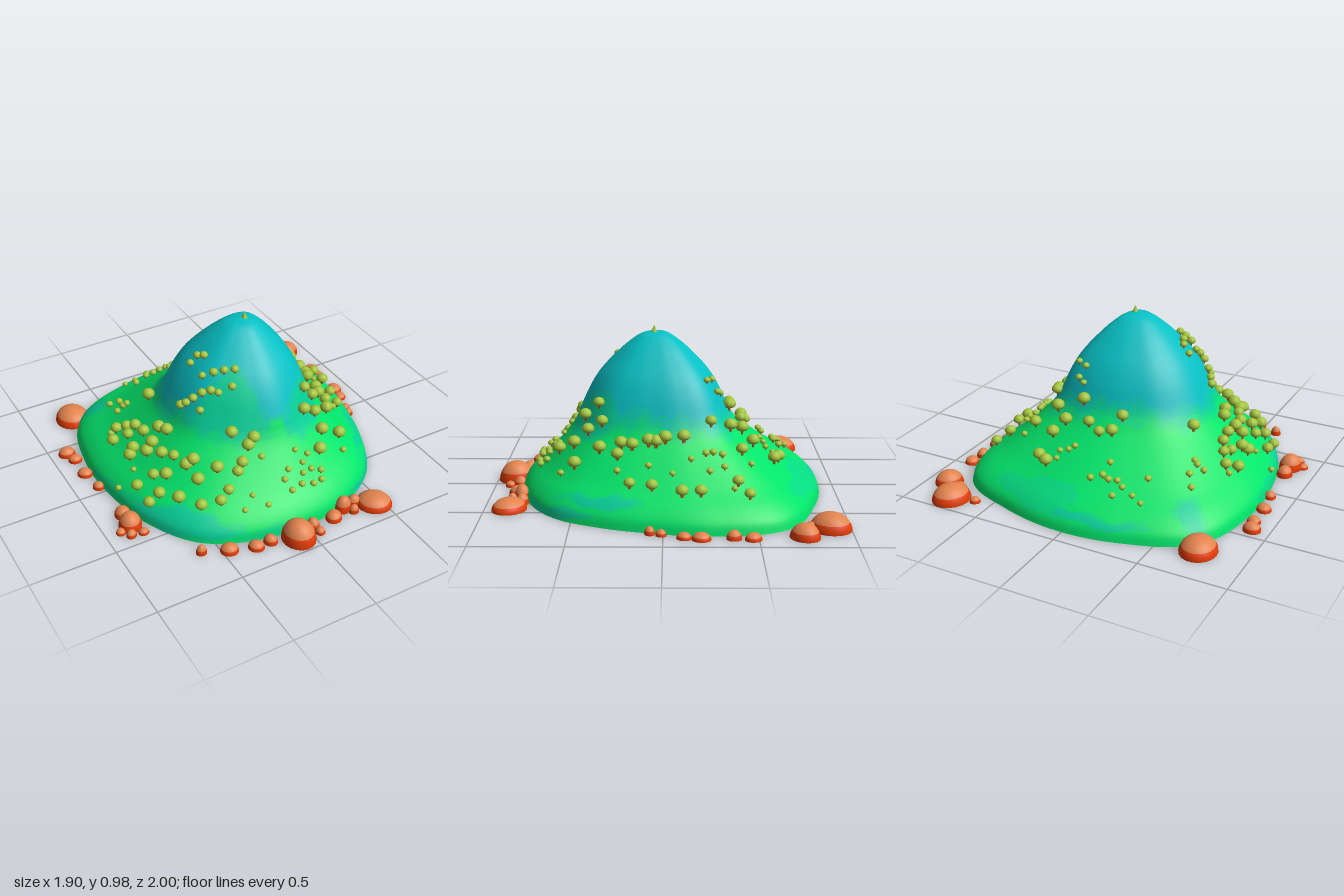
import * as THREE from 'three';

const mat = (name, color, side = THREE.FrontSide) => {
  const m = new THREE.MeshStandardMaterial({ color, side });
  m.name = name;
  return m;
};

// uniform Catmull-Rom through a list of numbers, closed or clamped
function spline(v, t, closed) {
  const n = v.length, i = Math.floor(t), u = t - i;
  const at = (k) => v[closed ? (k + n) % n : Math.min(n - 1, Math.max(0, k))];
  const [a, b, c, d] = [at(i - 1), at(i), at(i + 1), at(i + 2)];
  return b + 0.5 * u * (c - a + u * (2 * a - 5 * b + 4 * c - d + u * (3 * (b - c) + d - a)));
}

// hill outlines as radii, every 22.5 degrees from +z towards +x
const CX = 0.04, CZ = 0.05, TAU = Math.PI * 2;
const BASE = [0.78, 0.775, 0.775, 0.75, 0.775, 0.88, 1.01, 0.965, 0.965, 0.995, 1.05, 0.945, 0.87, 0.855, 0.86, 0.81];
const WAIST = [0.43, 0.41, 0.395, 0.37, 0.37, 0.41, 0.46, 0.44, 0.42, 0.42, 0.45, 0.465, 0.455, 0.45, 0.42, 0.415];
// slope profile: height, share of base outline, share of waist outline
const HEIGHT = [0, 0.06, 0.12, 0.19, 0.28, 0.38, 0.44, 0.5, 0.62, 0.72, 0.82, 0.88, 0.925, 0.94];
const OUTER = [1, 0.96, 0.84, 0.63, 0.4, 0.17, 0.07, 0, 0, 0, 0, 0, 0, 0];
const INNER = [0, 0.04, 0.16, 0.37, 0.6, 0.83, 0.93, 1, 0.87, 0.72, 0.5, 0.34, 0.18, 0];
const LAST = HEIGHT.length - 1;

const hillRadius = (a, t) => {
  const s = (((a / TAU) % 1) + 1) % 1 * 16;
  return spline(OUTER, t) * spline(BASE, s, true) + spline(INNER, t) * spline(WAIST, s, true);
};

// ground height below a point, by bisection along the slope
function groundY(a, r) {
  let lo = 0, hi = LAST;
  for (let i = 0; i < 30; i++) {
    const m = (lo + hi) / 2;
    if (hillRadius(a, m) > r) lo = m; else hi = m;
  }
  return spline(HEIGHT, lo);
}

// tinted patches: angle, height, half width (degrees), half height, tint
const PATCHES = [
  [305, 0.05, 28, 0.07, 0.5], [42, 0.025, 22, 0.03, 0.45], [62, 0.1, 20, 0.03, 0.45],
  [165, 0.12, 18, 0.045, 0.35], [188, 0.06, 22, 0.025, 0.4], [226, 0.1, 7, 0.08, 0.5],
  [350, 0.03, 20, 0.03, 0.35], [270, 0.05, 14, 0.04, 0.35], [320, 0.56, 30, 0.2, 0.5],
  [32, 0.49, 24, 0.14, 0.55], [0, 0.46, 9, 0.08, 0.1]];

// tint from 0 (grass) to 1 (summit)
function tint(a, y) {
  const deg = a / TAU * 360;
  const wob = 0.025 * Math.sin(3 * a + 1) + 0.015 * Math.sin(11 * a + 16 * y) + 0.01 * Math.sin(23 * a - 30 * y);
  let v = THREE.MathUtils.smoothstep(y + wob, 0.37, 0.57);
  for (const [pa, py, da, dy, target] of PATCHES) {
    const off = ((deg - pa + 540) % 360) - 180 + 120 * wob;
    const d = Math.hypot(off / da, (y + 0.7 * wob - py) / dy);
    v += (target - v) * (1 - THREE.MathUtils.smoothstep(d, 0.6, 1.2));
  }
  return v;
}

// open shell with a grassy foot and a blue-green summit
function makeHill(materials) {
  const N = 168, R = 84, pos = [], lists = materials.map(() => []);
  for (let j = 0; j <= R; j++) for (let i = 0; i < N; i++) {
    const a = i / N * TAU, t = j / R * LAST, r = hillRadius(a, t);
    pos.push(CX + r * Math.sin(a), spline(HEIGHT, t), CZ + r * Math.cos(a));
  }
  for (let j = 0; j < R; j++) for (let i = 0; i < N; i++) {
    const k = (i + 1) % N, p = j * N + i, q = j * N + k;
    const v = tint((i + 0.5) / N * TAU, pos[p * 3 + 1]);
    const list = lists[Math.round(THREE.MathUtils.clamp(v, 0, 1) * (lists.length - 1))];
    list.push(p, q, p + N);
    if (j < R - 1) list.push(q, q + N, p + N);
  }
  const g = new THREE.BufferGeometry();
  g.setAttribute('position', new THREE.Float32BufferAttribute(pos, 3));
  g.setIndex(lists.flat());
  let start = 0;
  lists.forEach((l, i) => { g.addGroup(start, l.length, i); start += l.length; });
  g.computeVertexNormals();
  const hill = new THREE.Mesh(g, materials);
  hill.name = 'hill';
  return hill;
}

// boulders around the foot: x, z, radius, height
const ROCKS = [
  -.73, -.75, .11, .09, .74, -.89, .11, .095, .865, -.74, .08, .08, .6, -.86, .03, .035, .76, -.78, .04, .05,
  -.9, -.43, .05, .05, -.88, -.35, .04, .04, -.88, -.2, .045, .04, -.86, -.05, .035, .04, -.84, .24, .05, .06,
  -.84, .34, .07, .09, -.91, .37, .03, .03, -.87, .42, .03, .04, -.8, .43, .03, .03, -.6, .73, .03, .055,
  -.46, .79, .05, .048, -.32, .84, .045, .045, -.23, .84, .04, .05, -.08, .89, .1, .12, .04, .85, .04, .06,
  .05, .91, .03, .035, .18, .85, .05, .05, .27, .81, .05, .09, .31, .86, .03, .05, .35, .8, .04, .06,
  .45, .86, .1, .07, .895, -.47, .045, .04, .885, -.37, .04, .05, .895, -.2, .05, .04, .88, -.11, .04, .035,
  .84, .01, .03, .035, .82, .07, .03, .045];

// full-size trees: x, z
const TREES = [
  .01, -.47, .09, -.44, -.09, -.38, -.06, -.45, .29, -.5, .16, -.37, .24, -.44, .33, -.37, .25, -.65,
  .31, -.62, .45, -.43, .4, -.26, .71, -.46, .65, -.4, .72, -.2, .72, -.1, .48, -.11, .49, .04,
  .48, -.01, .48, .08, .46, .23, .48, .17, .5, .25, .67, .06, .64, .18, .27, .36, .34, .34,
  .31, .42, .22, .44, .44, .35, .44, .49, .31, .5, .24, .59, -.44, -.2, -.7, -.16, -.65, -.22,
  -.61, -.16, -.63, -.1, -.58, -.1, -.57, -.01, -.65, .01, -.68, .03, -.61, .11, -.57, .1, -.51, .07,
  -.49, .13, -.56, .2, -.73, .22, -.64, .25, -.52, .27, -.72, .35, -.66, .36, -.59, .31, -.49, .36,
  -.45, .37, -.59, .46, -.47, .46, -.36, .48, -.23, .41, -.23, .53, -.27, .55, -.35, .59, -.41, .61,
  -.51, .57, -.13, .48, -.17, .49];

// young trees high on the front right slope: x, z
const HIGH_TREES = [
  -.29, .05, -.25, .06, -.23, .1, -.38, .16, -.35, .19, -.4, .13, -.31, .22, -.27, .25, -.23, .21,
  -.18, .24, -.13, .27, -.34, .25, -.28, .17, -.24, .28, -.17, .31];

// saplings: x, z
const SAPLINGS = [
  -.37, -.71, -.31, -.69, -.24, -.67, -.21, -.73, -.2, -.65, -.15, -.66, -.11, -.65, -.05, -.68,
  -.35, -.58, -.12, -.58, .12, -.55, .15, -.57, .2, -.62, .2, -.58, .19, -.32, .26, -.24,
  .2, -.27, .23, -.3, .52, -.32, .52, -.27, .53, -.23, .58, -.33, .61, -.25, .56, -.15,
  .62, -.05, .68, -.38, .5, -.48, .57, .08, .56, .25, -.57, -.5, -.53, -.44, -.54, -.36,
  -.58, -.36, -.52, -.35, -.68, -.24, -.8, .11, -.7, .11, .08, .58, .1, .63, .14, .66,
  .18, .71, .2, .67, .05, .71, .12, .72, -.04, .67, -.02, .72, .08, .67, .15, .6,
  -.31, .7, -.24, .66, -.18, .73, 0, .64, .42, .57, -.12, .55];

export function createModel() {
  const model = new THREE.Group();
  model.name = 'woodedHill';
  const leaf = mat('leafOlive', 0xa3c43c);
  const bark = mat('barkRed', 0xc8440f);
  const rockTop = mat('rockTan', 0xe2834e, THREE.DoubleSide);
  const rockSide = mat('rockRed', 0xe23c06, THREE.DoubleSide);
  const slopes = { grassGreen: 0x02e56a, meadowGreen: 0x04db80, slopeTealGreen: 0x06d098, upperTeal: 0x08c8b0, summitTeal: 0x06c0c4 };
  model.add(makeHill(Object.entries(slopes).map(([name, color]) => mat(name, color, THREE.DoubleSide))));

  const add = (parent, name, geometry, material) => {
    const mesh = new THREE.Mesh(geometry, material);
    mesh.name = name;
    parent.add(mesh);
    return mesh;
  };

  // rocks: half domes with a paler top
  const split = Math.PI * 0.34;
  const topGeo = new THREE.SphereGeometry(1, 18, 6, 0, TAU, 0, split);
  const sideGeo = new THREE.SphereGeometry(1, 18, 5, 0, TAU, split, Math.PI / 2 - split);
  for (let i = 0; i < ROCKS.length; i += 4) {
    const [x, z, r, h] = ROCKS.slice(i, i + 4);
    const rock = new THREE.Group();
    rock.name = 'rock';
    add(rock, 'rockTop', topGeo, rockTop);
    add(rock, 'rockSide', sideGeo, rockSide);
    rock.position.set(x, 0, z);
    rock.scale.set(r * 0.94, h, r * 1.04);
    rock.rotation.y = i * 0.7;
    model.add(rock);
  }

  // trees: round crown, flattened below, on a thin forked trunk set across the slope
  const crownGeo = new THREE.SphereGeometry(1, 14, 9);
  const cp = crownGeo.attributes.position;
  for (let i = 0; i < cp.count; i++) if (cp.getY(i) < 0) cp.setY(i, cp.getY(i) * 0.65);
  crownGeo.computeVertexNormals();
  const trunkGeo = new THREE.CylinderGeometry(0.12, 0.15, 0.9, 6);
  const plant = (list, size, name) => {
    for (let i = 0; i < list.length; i += 2) {
      const x = list[i], z = list[i + 1], a = Math.atan2(x - CX, z - CZ);
      const tree = new THREE.Group();
      tree.name = name;
      const crown = add(tree, 'crown', crownGeo, leaf);
      crown.position.set(0, 1.1, 0.1);
      crown.scale.y = 0.95;
      for (const s of [-1, 1]) {
        const trunk = add(tree, 'trunk', trunkGeo, bark);
        trunk.position.set(s * 0.18, 0.5, 0.12);
        trunk.rotation.z = -s * 0.3;
      }
      tree.position.set(x, groundY(a, Math.hypot(x - CX, z - CZ)), z);
      tree.rotation.y = a;
      tree.scale.setScalar(size * (0.9 + 0.2 * Math.abs(Math.sin(i * 1.7))));
      model.add(tree);
    }
  };
  plant(TREES, 0.035, 'tree');
  plant(HIGH_TREES, 0.024, 'highTree');
  plant(SAPLINGS, 0.019, 'sapling');

  // small pointed tree on the summit
  const tip = add(model, 'summitTree', new THREE.ConeGeometry(0.02, 0.045, 12), leaf);
  tip.position.set(0.055, 0.953, 0.055);
  return model;
}
